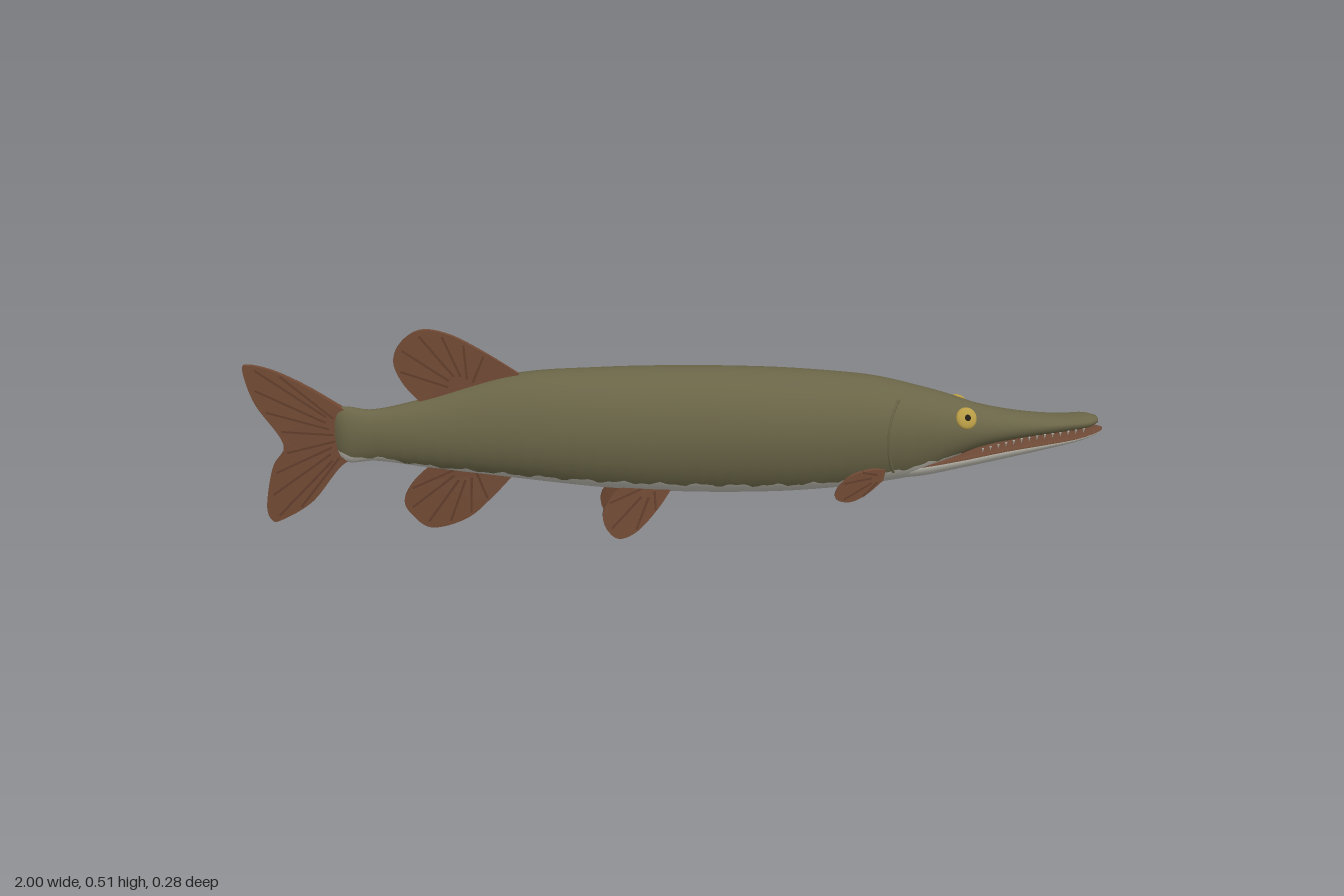
import * as THREE from 'three';

const mat = (name, color, side = THREE.FrontSide) => Object.assign(new THREE.MeshStandardMaterial({ color, side }), { name });

// Columns: x, top, bottom, half width, height of widest point, height of colour edge
const BODY = [
  [-0.81, 0.318, 0.23, 0.006, 0.27, 0.24], [-0.79, 0.335, 0.2, 0.022, 0.27, 0.22],
  [-0.72, 0.325, 0.2, 0.03, 0.265, 0.215], [-0.6, 0.347, 0.18, 0.052, 0.262, 0.193],
  [-0.4, 0.398, 0.148, 0.085, 0.265, 0.172], [-0.2, 0.406, 0.117, 0.104, 0.262, 0.155],
  [0, 0.403, 0.097, 0.111, 0.26, 0.14], [0.2, 0.392, 0.089, 0.113, 0.255, 0.13],
  [0.35, 0.377, 0.092, 0.104, 0.25, 0.13], [0.45, 0.362, 0.1, 0.096, 0.245, 0.145],
  [0.55, 0.335, 0.116, 0.082, 0.24, 0.163], [0.62, 0.313, 0.15, 0.07, 0.235, 0.175],
  [0.7, 0.284, 0.182, 0.056, 0.232, 0.19], [0.8, 0.262, 0.2, 0.044, 0.232, 0.208],
  [0.9, 0.25, 0.211, 0.037, 0.235, 0.219], [0.96, 0.251, 0.22, 0.032, 0.237, 0.226],
  [0.985, 0.245, 0.229, 0.015, 0.237, 0.233],
];
const JAW = [
  [0.45, 0.15, 0.112, 0.05], [0.55, 0.16, 0.113, 0.058], [0.65, 0.173, 0.13, 0.056],
  [0.75, 0.187, 0.147, 0.048], [0.85, 0.198, 0.167, 0.042], [0.93, 0.208, 0.185, 0.037],
  [0.98, 0.218, 0.2, 0.026], [1, 0.217, 0.209, 0.006],
].map(([x, t, b, w]) => [x, t, b, w, t - 0.006, t - 0.003]);

// Smooth interpolation of one column at x
function at(rows, x, c) {
  const n = rows.length;
  let i = 0;
  while (i < n - 2 && x > rows[i + 1][0]) i++;
  const slope = (k) => {
    const a = rows[Math.max(k - 1, 0)], b = rows[Math.min(k + 1, n - 1)];
    return (b[c] - a[c]) / (b[0] - a[0]);
  };
  const h = rows[i + 1][0] - rows[i][0], t = (x - rows[i][0]) / h, t2 = t * t, t3 = t2 * t;
  return rows[i][c] * (2 * t3 - 3 * t2 + 1) + rows[i + 1][c] * (3 * t2 - 2 * t3)
    + h * (slope(i) * (t3 - 2 * t2 + t) + slope(i + 1) * (t3 - t2));
}

// Point on the skin at x and angle around the section
function skin(rows, x, a) {
  const yc = at(rows, x, 4), s = Math.sin(a);
  const h = s > 0 ? at(rows, x, 1) - yc : yc - at(rows, x, 2);
  return new THREE.Vector3(x, yc + h * s, at(rows, x, 3) * Math.cos(a));
}

// Loft through the rows; material 0 above the colour edge, lowMaterial(x) below it
function loft(rows, n, nUp, nLow, wobble, lowMaterial) {
  const pos = [], ring = nUp + nLow, lists = [[], [], []];
  const x0 = rows[0][0], x1 = rows[rows.length - 1][0];
  const xAt = (i) => x0 + (x1 - x0) * Math.min(Math.max((i - 1) / n, 0), 1);
  for (let i = 0; i <= n + 2; i++) {
    const x = xAt(i), yc = at(rows, x, 4);
    const s = (at(rows, x, 5) + wobble(x) - yc) / (yc - at(rows, x, 2));
    const A = Math.asin(THREE.MathUtils.clamp(s, -0.97, -0.05));
    for (let j = 0; j < ring; j++) {
      const a = j <= nUp ? A + (Math.PI - 2 * A) * j / nUp
        : Math.PI - A + (Math.PI + 2 * A) * (j - nUp) / nLow;
      const p = skin(rows, x, a);
      if (i === 0 || i === n + 2) p.set(x, yc, 0);
      pos.push(p.x, p.y, p.z);
    }
  }
  for (let i = 0; i < n + 2; i++) for (let j = 0; j < ring; j++) {
    const a = i * ring + j, b = i * ring + (j + 1) % ring, c = a + ring, d = b + ring;
    lists[j < nUp ? 0 : lowMaterial(xAt(i))].push(a, c, b, b, c, d);
  }
  const g = new THREE.BufferGeometry();
  g.setAttribute('position', new THREE.Float32BufferAttribute(pos, 3));
  g.setIndex(lists.flat());
  let start = 0;
  lists.forEach((l, m) => { g.addGroup(start, l.length, m); start += l.length; });
  g.computeVertexNormals();
  return g;
}

// Flat outline made into a slab that thins away from its base and leans by zAt
function slab(shape, base, reach, half, zAt) {
  const g = new THREE.ExtrudeGeometry(shape, { depth: 2, bevelEnabled: false, curveSegments: 40 });
  const p = g.attributes.position;
  for (let i = 0; i < p.count; i++) {
    const x = p.getX(i), y = p.getY(i);
    const t = Math.min(Math.hypot(x - base[0], y - base[1]) / reach, 1);
    p.setZ(i, (p.getZ(i) - 1) * half * (1 - 0.6 * t) + zAt(x, y));
  }
  g.computeVertexNormals();
  return g;
}

export function createModel() {
  const model = new THREE.Group();
  model.name = 'fish';
  const olive = mat('olive skin', 0x6a6547), pale = mat('pale belly', 0xb9b7ac);
  const finBrown = mat('fin brown', 0x714a35), rayBrown = mat('fin ray brown', 0x613e2c);
  const mouth = mat('mouth brown', 0x6e4a36), gold = mat('eye gold', 0xb89c45), black = mat('pupil', 0x211d14);
  const add = (name, geometry, material, parent = model) => {
    const m = new THREE.Mesh(geometry, material);
    m.name = name;
    parent.add(m);
    return m;
  };

  // Body with uneven belly edge, snout and lower jaw
  const ragged = (x) => (x < 0.6 ? 0.004 * Math.sin(70 * x) + 0.003 * Math.sin(157 * x) : 0);
  add('body', loft(BODY, 150, 26, 14, ragged, (x) => (x > 0.64 ? 2 : 1)), [olive, pale, mouth]);
  add('lowerJaw', loft(JAW, 40, 8, 14, () => 0, () => 1), [mouth, pale, mouth]);

  // Fins with fanned rays
  const fin = (name, pts, base, half, zAt = () => 0, rays = 6) => {
    const group = new THREE.Group();
    group.name = name;
    model.add(group);
    const v = pts.map(([x, y]) => new THREE.Vector2(x, y));
    const reach = Math.max(...pts.map(([x, y]) => Math.hypot(x - base[0], y - base[1])));
    const outline = new THREE.Shape().moveTo(v[0].x, v[0].y).splineThru(v.slice(1));
    add('finBlade', slab(outline, base, reach, half, zAt), finBrown, group);
    const curve = new THREE.SplineCurve(v), origin = new THREE.Vector2(...base);
    for (let i = 0; i < rays; i++) {
      const end = curve.getPointAt(0.22 + 0.56 * i / (rays - 1)).sub(origin).multiplyScalar(0.93);
      const side = new THREE.Vector2(-end.y, end.x).setLength(0.0025);
      const from = origin.clone().addScaledVector(end, 0.3), tip = origin.clone().add(end);
      const strip = new THREE.Shape([from.clone().add(side), from.clone().sub(side), tip.clone().sub(side), tip.clone().add(side)]);
      add('finRay', slab(strip, base, reach, half + 0.001, zAt), rayBrown, group);
    }
  };
  fin('tailFin', [[-0.75, 0.31], [-0.79, 0.335], [-0.86, 0.385], [-0.93, 0.425], [-0.985, 0.442], [-1, 0.43], [-0.98, 0.35],
    [-0.925, 0.25], [-0.955, 0.19], [-0.975, 0.1], [-0.968, 0.062], [-0.945, 0.06], [-0.87, 0.105], [-0.8, 0.19], [-0.75, 0.22]],
  [-0.76, 0.265], 0.011, undefined, 10);
  fin('dorsalFin', [[-0.37, 0.39], [-0.47, 0.46], [-0.54, 0.5], [-0.6, 0.512], [-0.645, 0.485], [-0.665, 0.44], [-0.645, 0.385],
    [-0.6, 0.33]], [-0.5, 0.36], 0.011);
  fin('analFin', [[-0.39, 0.17], [-0.46, 0.095], [-0.52, 0.045], [-0.6, 0.025], [-0.645, 0.06], [-0.66, 0.1], [-0.63, 0.15],
    [-0.57, 0.2]], [-0.5, 0.19], 0.011);
  for (const s of [1, -1]) {
    const side = s > 0 ? 'Front' : 'Back';
    fin('pelvicFin' + side, [[-0.03, 0.135], [-0.07, 0.075], [-0.12, 0.02], [-0.165, 0.002], [-0.195, 0.03], [-0.2, 0.07],
      [-0.175, 0.11], [-0.13, 0.14]], [-0.08, 0.135], 0.01, (x, y) => s * (0.04 + (0.125 - y) * 0.14), 4);
    fin('pectoralFin' + side, [[0.46, 0.16], [0.42, 0.168], [0.37, 0.165], [0.335, 0.14], [0.335, 0.115], [0.37, 0.1],
      [0.41, 0.108], [0.455, 0.135]], [0.455, 0.147], 0.007, (x) => s * (0.077 + (0.455 - x) * 0.48), 4);

    // Eye with pupil, set into the side of the head
    const eye = new THREE.Group();
    eye.name = 'eye' + side;
    eye.position.set(0.652, 0.272, s * 0.054);
    eye.rotation.set(-s * 0.5, s * 0.17, 0);
    model.add(eye);
    add('iris', new THREE.SphereGeometry(0.026, 24, 16), gold, eye).scale.z = 0.38;
    const pupil = add('pupil', new THREE.SphereGeometry(0.008, 16, 10), black, eye);
    pupil.position.z = s * 0.0085;
    pupil.scale.z = 0.35;

    // Raised edge of the gill cover
    const edge = [];
    for (let i = 0; i <= 12; i++) {
      const a = -0.75 + 1.6 * i / 12;
      const p = skin(BODY, 0.51 - 0.05 * Math.cos(a * 1.3), a);
      edge.push(new THREE.Vector3(p.x, p.y, p.z * s * 0.985));
    }
    add('gillEdge' + side, new THREE.TubeGeometry(new THREE.CatmullRomCurve3(edge), 30, 0.0035, 6), olive);

    // Small teeth along the upper lip
    for (let i = 0; i < 14; i++) {
      const x = 0.7 + i * 0.019;
      const tooth = add('tooth', new THREE.ConeGeometry(0.003, 0.012, 5), pale);
      tooth.position.set(x, at(BODY, x, 5) - 0.006, s * at(BODY, x, 3) * 0.78);
      tooth.rotation.x = Math.PI;
    }
  }
  return model;
}
